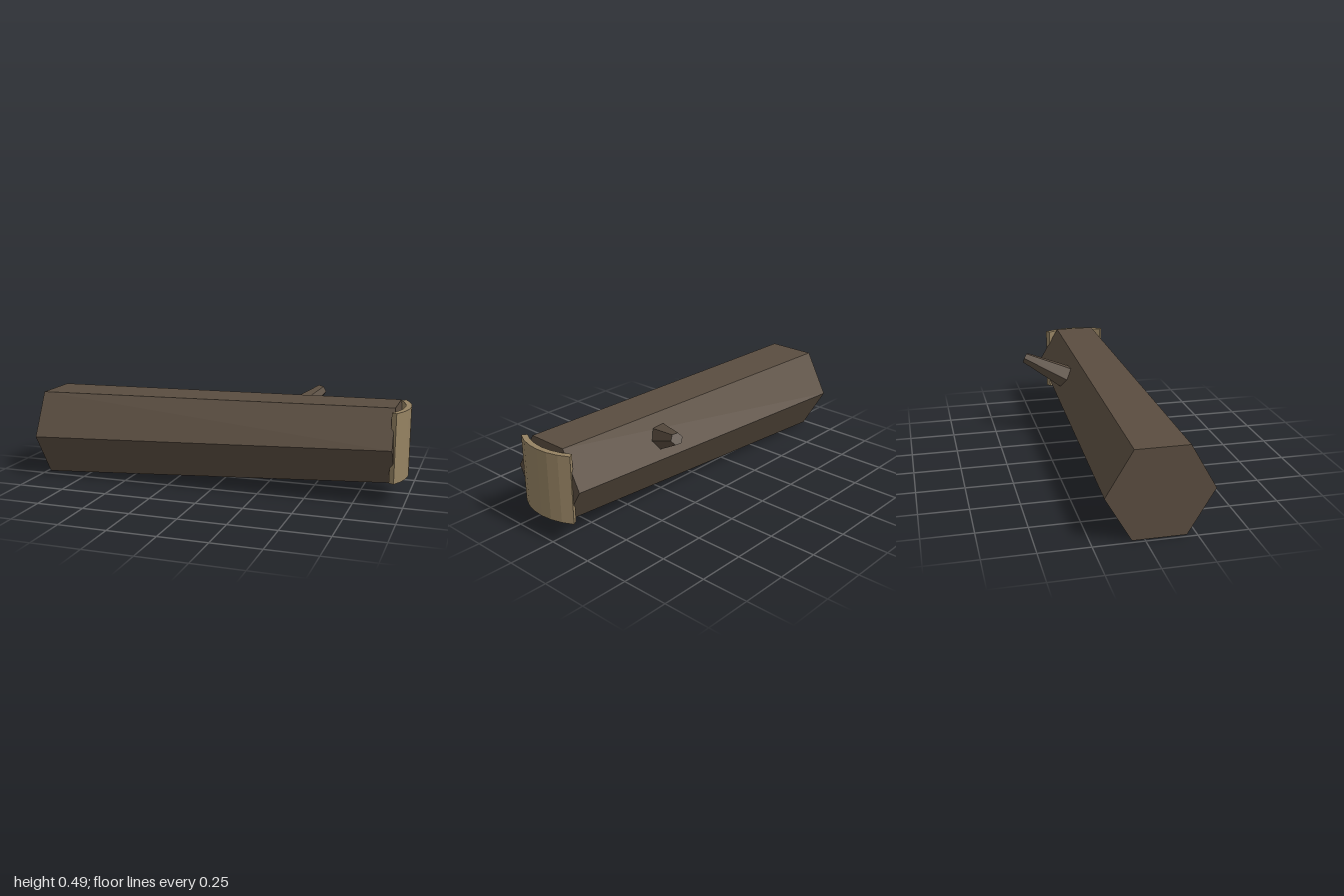
import * as THREE from 'three';

// Six-sided tapered cylinder from a to b, with one corner pointing along `corner`
function taperedHex(a, b, ra, rb, corner, material, name) {
  const dir = b.clone().sub(a);
  const length = dir.length();
  dir.normalize();
  const z = corner.clone().addScaledVector(dir, -corner.dot(dir)).normalize();
  const x = dir.clone().cross(z);
  const geometry = new THREE.CylinderGeometry(rb, ra, length, 6);
  geometry.applyMatrix4(new THREE.Matrix4().makeBasis(x, dir, z));
  const mesh = new THREE.Mesh(geometry, material);
  mesh.position.copy(a).add(b).multiplyScalar(0.5);
  mesh.name = name;
  return mesh;
}

export function createModel() {
  const bark = new THREE.MeshStandardMaterial({ color: 0x5a4d40, flatShading: true });
  bark.name = 'dark bark';
  const paleWood = new THREE.MeshStandardMaterial({ color: 0x958262, flatShading: true });
  paleWood.name = 'pale wood';

  const group = new THREE.Group();
  group.name = 'log';
  const V = (x, y, z) => new THREE.Vector3(x, y, z);

  // Tapered trunk, lying slightly tilted
  group.add(taperedHex(V(-0.991, 0.23, 0.071), V(0.941, 0.299, 0.071),
    0.263, 0.221, V(0, 0, 1), bark, 'trunk'));

  // Branch stub on the back
  group.add(taperedHex(V(0.323, 0.35, -0.06), V(0.457, 0.462, -0.316),
    0.075, 0.031, V(1, 0, 0), bark, 'branchStub'));

  // Curved plate over the narrow end: a faceted ring segment
  const outer = 0.345, inner = 0.315, half = 0.545, steps = 6;
  const points = [];
  const arc = (r, from, to) => {
    for (let i = 0; i <= steps; i++) {
      const t = from + (to - from) * i / steps;
      points.push(new THREE.Vector2(r * Math.cos(t), r * Math.sin(t)));
    }
  };
  arc(outer, -half, half);
  arc(inner, half, -half);
  const geometry = new THREE.ExtrudeGeometry(new THREE.Shape(points), { depth: 0.357, bevelEnabled: false });
  geometry.rotateX(-Math.PI / 2);
  const plate = new THREE.Mesh(geometry, paleWood);
  plate.position.set(1 - outer, 0.12, 0.071);
  plate.name = 'curvedEndPlate';
  group.add(plate);

  return group;
}
